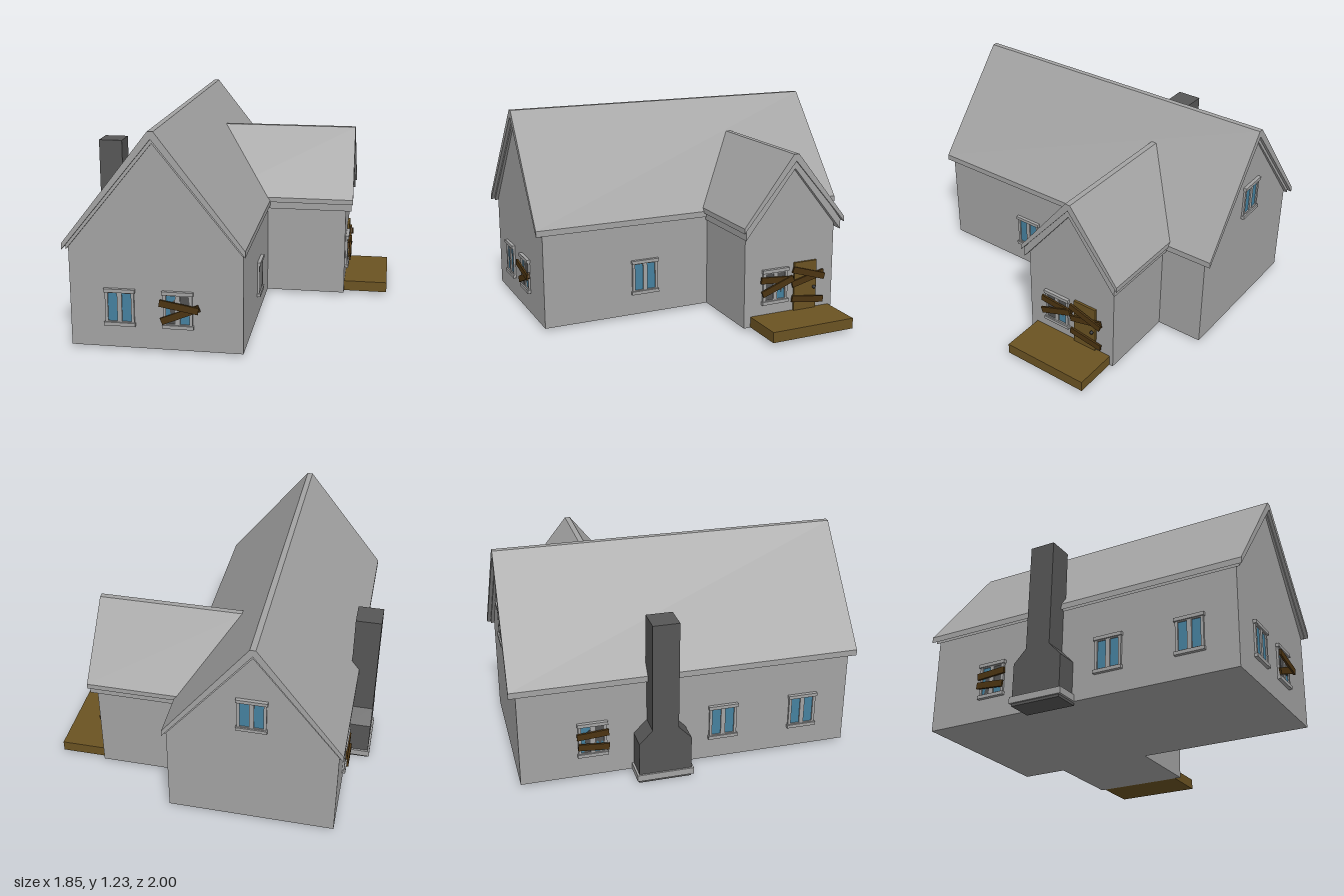
import * as THREE from 'three';

const mat = (name, color) => {
  const m = new THREE.MeshStandardMaterial({ color });
  m.name = name;
  return m;
};

export function createModel() {
  const grey = mat('plaster grey', 0xa3a3a3);
  const stone = mat('chimney grey', 0x565656);
  const wood = mat('deck wood', 0x6b5322);
  const darkWood = mat('board wood', 0x4c3411);
  const glass = mat('window blue', 0x45819f);
  const dark = mat('broken pane grey', 0x525252);
  const iron = mat('knob iron', 0x303030);

  const house = new THREE.Group();
  house.name = 'house';

  const add = (parent, name, geo, material, x = 0, y = 0, z = 0) => {
    const m = new THREE.Mesh(geo, material);
    m.name = name;
    m.position.set(x, y, z);
    parent.add(m);
    return m;
  };
  const box = (parent, name, material, w, h, d, x, y, z) =>
    add(parent, name, new THREE.BoxGeometry(w, h, d), material, x, y, z);
  const shape = pts => new THREE.Shape(pts.map(p => new THREE.Vector2(...p)));
  // extrude a profile between two depths
  const prism = (pts, z0, z1) =>
    new THREE.ExtrudeGeometry(shape(pts), { depth: z1 - z0, bevelEnabled: false }).translate(0, 0, z0);

  // gabled wall block
  const walls = (half, eave, peak, z0, z1) =>
    prism([[-half, 0.015], [half, 0.015], [half, eave], [0, peak], [-half, eave]], z0, z1);

  // chevron roof slab; overhangs draw back slightly towards the ridge
  const roof = (half, eave, ridge, edge, inner, z0, z1, lean) => {
    const geo = prism([[-half, eave - edge], [0, inner], [half, eave - edge],
      [half, eave], [0.016, ridge], [-0.016, ridge], [-half, eave]], z0, z1);
    const p = geo.attributes.position;
    for (let i = 0; i < p.count; i++) {
      const t = (p.getY(i) - eave) / (ridge - eave);
      p.setZ(i, p.getZ(i) - Math.sign(p.getZ(i)) * lean * t);
    }
    geo.computeVertexNormals();
    return geo;
  };

  // main house
  add(house, 'mainWalls', walls(0.48, 0.59, 1.18, -0.96, 0.96), grey, -0.31);
  add(house, 'mainRoof', roof(0.5, 0.61, 1.23, 0.035, 1.19, -1, 1, 0.013), grey, -0.315);
  add(house, 'mainRoofTrim', roof(0.485, 0.6, 1.2, 0.03, 1.165, -0.98, 0.98, 0.01), grey, -0.313);

  // side wing, facing +x
  const turn = g => g.rotateY(Math.PI / 2);
  add(house, 'wingWalls', turn(walls(0.297, 0.59, 0.965, 0.1, 0.657)), grey, 0, 0, -0.383);
  add(house, 'wingRoof', turn(roof(0.333, 0.63, 1.03, 0.03, 0.99, -0.165, 0.7, 0.008)), grey, 0, 0, -0.391);
  add(house, 'wingRoofTrim', turn(roof(0.315, 0.615, 1.0, 0.06, 0.945, -0.12, 0.69, 0.008)), grey, 0, 0, -0.389);

  // nailed-on board between two points, local to a wall
  const board = (parent, x1, y1, x2, y2, z) => {
    const b = box(parent, 'board', darkWood, Math.hypot(x2 - x1, y2 - y1), 0.038, 0.012,
      (x1 + x2) / 2, (y1 + y2) / 2, z);
    b.rotation.z = Math.atan2(y2 - y1, x2 - x1);
  };

  const wallGroup = (name, x, y, z, ry) => {
    const g = new THREE.Group();
    g.name = name;
    g.position.set(x, y, z);
    g.rotation.y = ry;
    house.add(g);
    return g;
  };

  // window: frame with two openings, panes, head and sill; holes are dark shapes in pane units
  const PW = 0.052, PH = 0.162, PX = 0.039;
  const addWindow = (x, y, z, ry, holes = [], boards = []) => {
    const g = wallGroup('window', x, y, z, ry);
    const frame = shape([[-0.081, -0.1], [0.081, -0.1], [0.081, 0.1], [-0.081, 0.1]]);
    for (const s of [-1, 1]) {
      const a = s * PX - PW / 2, b = s * PX + PW / 2, h = PH / 2;
      frame.holes.push(shape([[a, -h], [a, h], [b, h], [b, -h]]));
      box(g, 'pane', glass, PW, PH, 0.004, s * PX, 0, 0.002);
    }
    add(g, 'frame', new THREE.ExtrudeGeometry(frame, { depth: 0.012, bevelEnabled: false }), grey);
    for (const s of [-1, 1]) box(g, s > 0 ? 'head' : 'sill', grey, 0.174, 0.02, 0.02, 0, s * 0.096, 0.01);
    for (const [side, pts] of holes) {
      const hole = pts.map(([u, v]) => [side * PX + (u - 0.5) * PW, (v - 0.5) * PH]);
      add(g, 'brokenPane', prism(hole, 0.004, 0.007), dark);
    }
    boards.forEach((b, i) => board(g, ...b, 0.019 + 0.009 * (i % 2)));
  };

  const whole = [[0, 0], [1, 0], [1, 1], [0, 1]];
  const upper = [[0, 0.3], [0.3, 0.42], [0.55, 0.25], [0.75, 0.4], [1, 0.3], [1, 1], [0, 1]];
  const corner = [[0.3, 0], [1, 0], [1, 0.9], [0.6, 0.75], [0.35, 0.6], [0.5, 0.3]];
  const Q = Math.PI / 2;

  addWindow(-0.511, 0.25, 0.96, 0);
  addWindow(-0.188, 0.25, 0.96, 0, [[-1, corner], [1, upper]],
    [[-0.09, -0.064, 0.12, 0.022], [-0.098, 0.045, 0.117, 0.008]]);
  addWindow(0.17, 0.25, 0.332, Q);
  addWindow(0.657, 0.25, -0.285, Q, [[-1, whole], [1, upper]],
    [[-0.1, 0.048, 0.115, 0.03], [-0.095, -0.035, 0.11, 0.04]]);
  addWindow(-0.79, 0.25, -0.55, -Q, [[-1, corner], [1, upper]],
    [[-0.09, 0.028, 0.09, 0.04], [-0.085, -0.03, 0.09, -0.045]]);
  addWindow(-0.79, 0.25, 0.208, -Q);
  addWindow(-0.79, 0.25, 0.69, -Q);
  addWindow(-0.31, 0.78, -0.96, Math.PI);

  // boarded door and its knob
  const door = wallGroup('door', 0.657, 0, -0.487, Q);
  box(door, 'doorLeaf', wood, 0.15, 0.295, 0.014, 0, 0.2275, 0.007);
  add(door, 'knob', new THREE.SphereGeometry(0.011, 10, 8), iron, 0.056, 0.212, 0.021);
  board(door, -0.094, 0.246, 0.12, 0.298, 0.019);
  board(door, -0.094, 0.34, 0.12, 0.274, 0.028);
  board(door, -0.094, 0.158, 0.12, 0.128, 0.02);

  // porch deck
  box(house, 'porchDeck', wood, 0.29, 0.063, 0.53, 0.78, 0.0485, -0.393);

  // chimney: wide hearth tapering to a narrow stack, on a footing
  const w = 0.15, n = 0.075;
  const stack = prism([[-w, 0], [w, 0], [w, 0.247], [n, 0.325], [n, 0.957],
    [-n, 0.957], [-n, 0.325], [-w, 0.247]], -0.918, -0.769);
  add(house, 'chimney', turn(stack), stone, 0, 0, -0.164);
  box(house, 'chimneyFooting', grey, 0.148, 0.038, 0.326, -0.854, 0.034, -0.163);

  return house;
}
